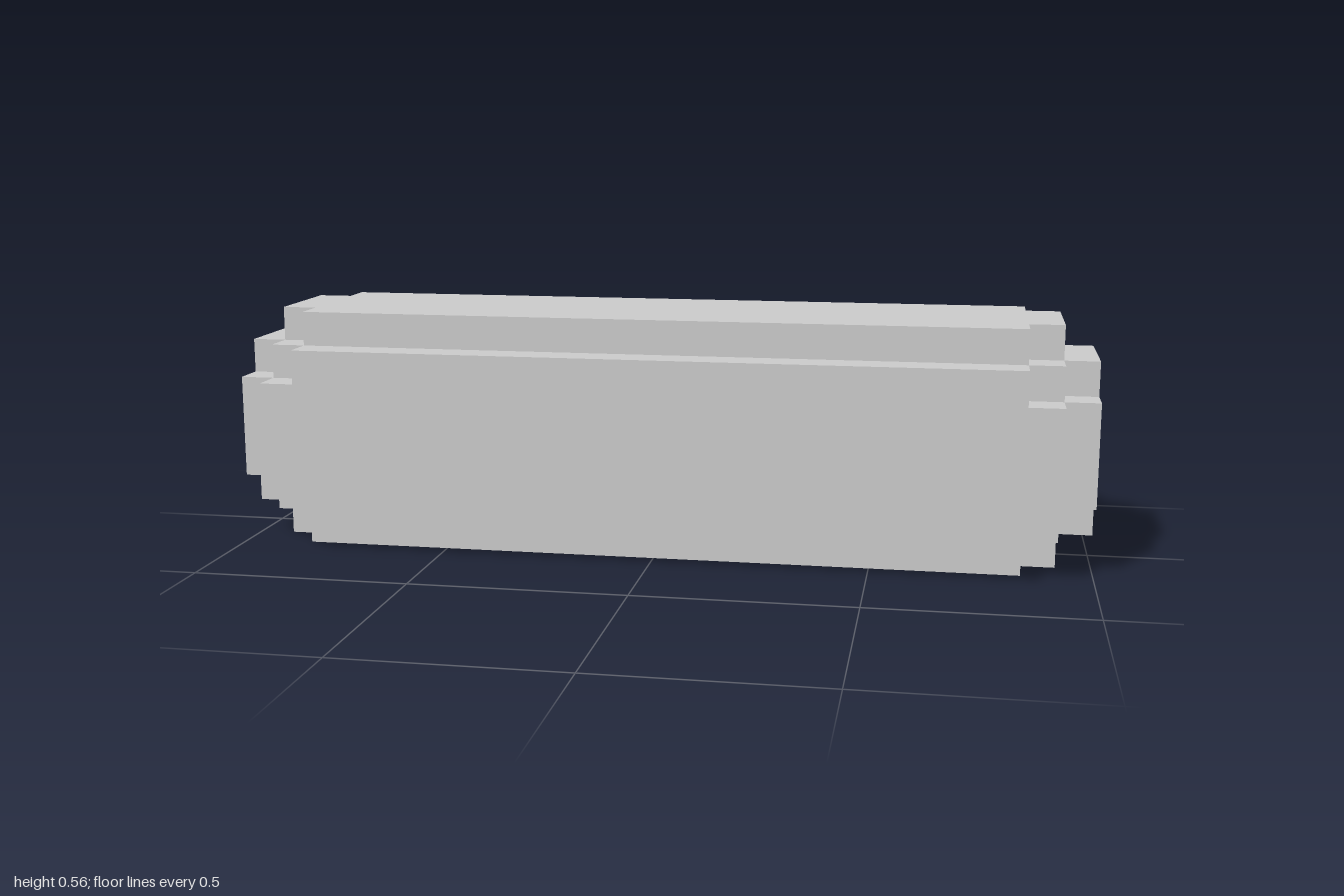
import * as THREE from 'three';

const STEP = 0.08;
const SIZE = [2, 0.56, 0.56];

// Each axis has two thin layers at either end and one wide core layer.
const DEPTH = [0, 1, 2, 1, 0];
const edges = SIZE.map((s) => {
  const h = s / 2;
  return [-h, -h + STEP, -h + 2 * STEP, h - 2 * STEP, h - STEP, h];
});

// A cell is solid when its layer depths add up to at least 3,
// which steps every edge and corner of the block inwards.
const solid = (c) => c.every((i) => i >= 0 && i < 5)
  && DEPTH[c[0]] + DEPTH[c[1]] + DEPTH[c[2]] >= 3;

// Outer skin only: one quad wherever a solid cell meets an empty one.
function steppedBlockGeometry() {
  const positions = [];

  function addFace(cell, axis, dir) {
    const u = (axis + 1) % 3, v = (axis + 2) % 3;
    const corner = (du, dv) => {
      const p = [0, 0, 0];
      p[axis] = edges[axis][cell[axis] + (dir > 0 ? 1 : 0)];
      p[u] = edges[u][cell[u] + du];
      p[v] = edges[v][cell[v] + dv];
      return p;
    };
    const ring = [corner(0, 0), corner(1, 0), corner(1, 1), corner(0, 1)];
    if (dir < 0) ring.reverse();
    for (const i of [0, 1, 2, 0, 2, 3]) positions.push(...ring[i]);
  }

  for (let x = 0; x < 5; x++) for (let y = 0; y < 5; y++) for (let z = 0; z < 5; z++) {
    const cell = [x, y, z];
    if (!solid(cell)) continue;
    for (let axis = 0; axis < 3; axis++) for (const dir of [-1, 1]) {
      const next = [...cell];
      next[axis] += dir;
      if (!solid(next)) addFace(cell, axis, dir);
    }
  }

  const geometry = new THREE.BufferGeometry();
  geometry.setAttribute('position', new THREE.Float32BufferAttribute(positions, 3));
  geometry.computeVertexNormals();
  return geometry;
}

export function createModel() {
  const group = new THREE.Group();
  group.name = 'steppedBar';
  const material = new THREE.MeshStandardMaterial({ color: 0xcccccc, flatShading: true });
  const block = new THREE.Mesh(steppedBlockGeometry(), material);
  block.name = 'steppedBlock';
  block.position.y = SIZE[1] / 2;
  group.add(block);
  return group;
}
